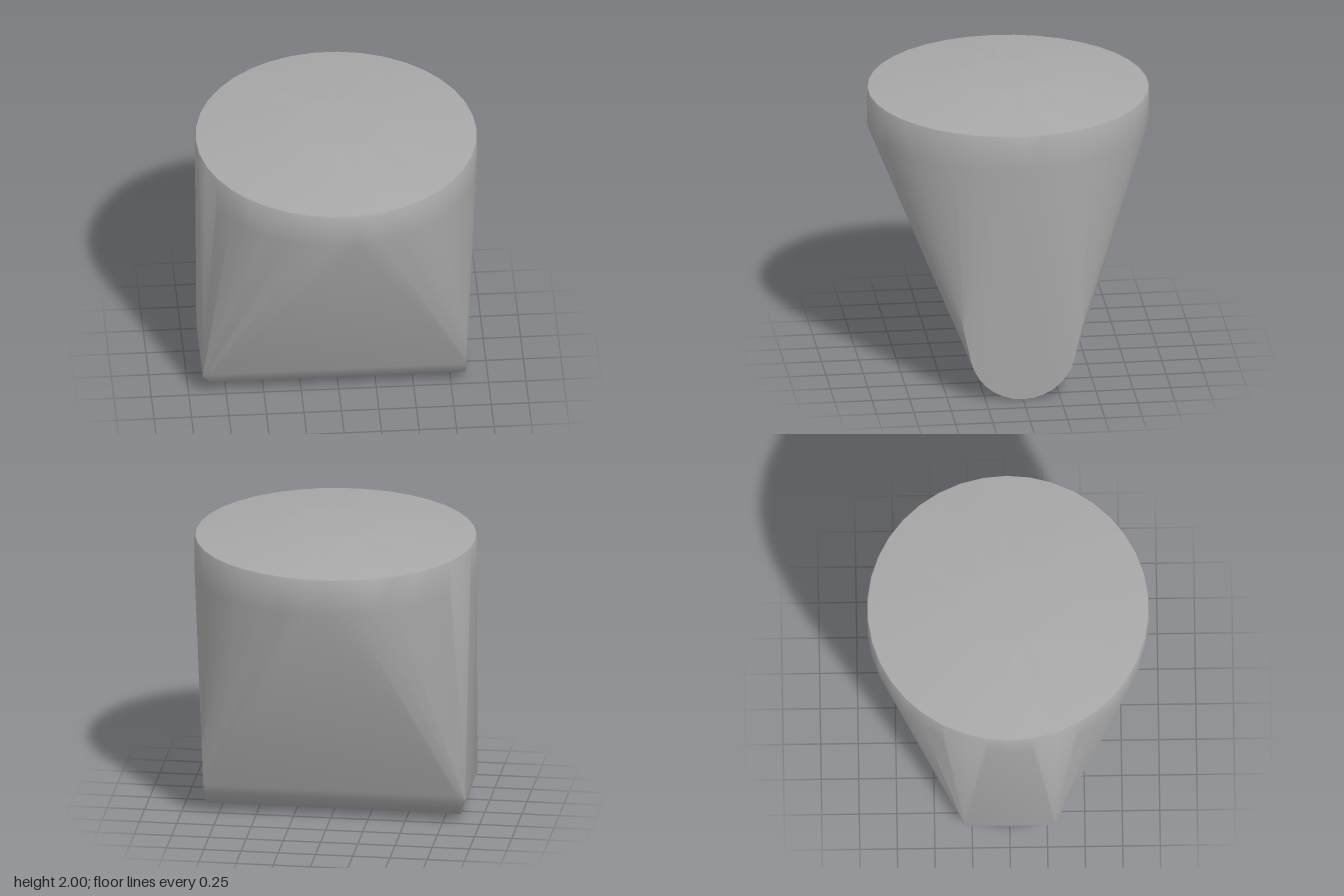
import * as THREE from 'three';
import { ConvexGeometry } from 'three/addons/geometries/ConvexGeometry.js';
import { toCreasedNormals } from 'three/addons/utils/BufferGeometryUtils.js';

export function createModel() {
  const group = new THREE.Group();
  const grey = new THREE.MeshStandardMaterial({ color: 0xa8a8a8 });
  grey.name = 'plain grey';

  const points = [];
  const add = (x, y, z) => points.push(new THREE.Vector3(x, y, z));

  // Horizontal ring with a corner on the x axis
  const ring = (radius, y, sides = 38) => {
    for (let i = 0; i < sides; i++) {
      const a = (i / sides) * Math.PI * 2;
      add(Math.cos(a) * radius, y, Math.sin(a) * radius);
    }
  };
  ring(0.94, 1.67); // foot of the drum wall
  ring(0.94, 1.91); // rim
  ring(0.935, 1.918); // narrow rim bevel
  ring(0.32, 2); // raised middle of the lid

  // Rounded keel along x, a lower half circle at each end
  const keelRadius = 0.355;
  for (const x of [-0.85, 0.845]) {
    for (let i = 0; i <= 16; i++) {
      const a = (i / 16) * Math.PI;
      add(x, 0.36 - Math.sin(a) * keelRadius, Math.cos(a) * keelRadius);
    }
  }

  // Corners of the keel's ends: raised step on one, taller sides on the other
  for (const side of [-1, 1]) {
    add(-0.91, 0.19, side * 0.3);
    add(-0.91, 0.33, side * 0.3);
    add(0.847, 0.53, side * 0.4);
  }

  // Taut skin from the round lid down to the keel
  const body = new THREE.Mesh(toCreasedNormals(new ConvexGeometry(points), 0.6), grey);
  body.name = 'taperedBody';
  group.add(body);
  return group;
}
